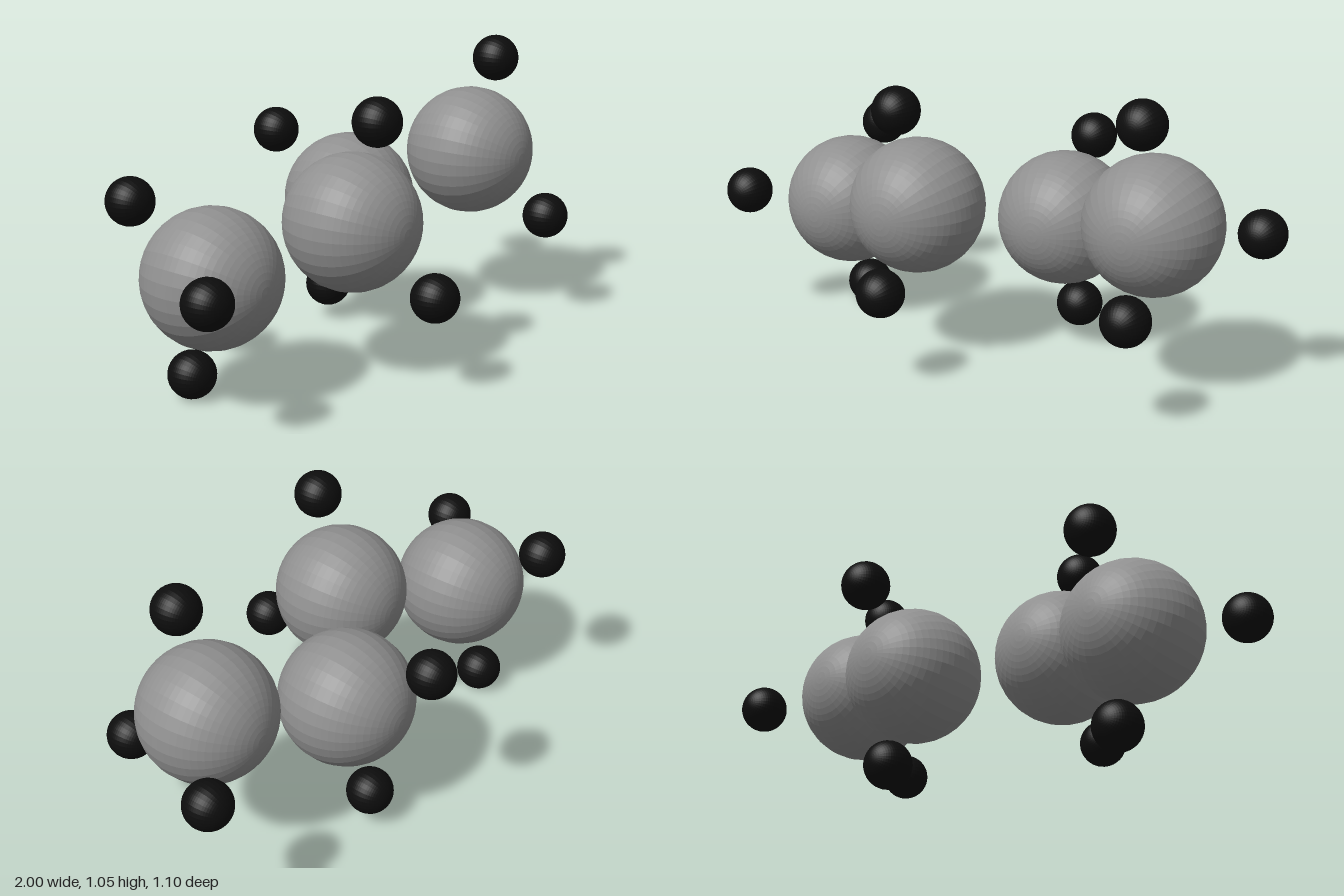
import * as THREE from 'three';

const CENTRE_Y = 0.528;

// Half of the chain; the other half is its point reflection through the centre.
const largeBalls = [
  ['innerBall', 0.196, 0.493, -0.165],
  ['outerBall', 0.641, 0.612, 0.05],
];
const smallBalls = [
  ['innerLowerBead', 0.203, 0.135, -0.272],
  ['innerBackBead', 0.143, 0.705, -0.466],
  ['outerUpperBead', 0.642, 0.972, 0.153],
  ['outerFrontBead', 0.703, 0.399, 0.349],
  ['outerEndBead', 0.918, 0.559, -0.196],
];

// Faceted sphere with its poles on the z axis
function ballGeometry(radius) {
  return new THREE.SphereGeometry(radius, 32, 32).rotateX(Math.PI / 2);
}

export function createModel() {
  const model = new THREE.Group();
  model.name = 'ballChain';

  const grey = new THREE.MeshStandardMaterial({ color: 0x909090, flatShading: true });
  const black = new THREE.MeshStandardMaterial({ color: 0x0d0d0d, flatShading: true });

  function addPairs(list, geometry, material) {
    for (const [name, x, y, z] of list) {
      for (const side of [1, -1]) {
        const ball = new THREE.Mesh(geometry, material);
        ball.name = name + (side > 0 ? 'Left' : 'Right');
        ball.position.set(side * x, CENTRE_Y + side * (y - CENTRE_Y), side * z);
        model.add(ball);
      }
    }
  }

  // Four large balls in a zigzag, ten small beads floating around them
  addPairs(largeBalls, ballGeometry(0.233), grey);
  addPairs(smallBalls, ballGeometry(0.082), black);
  return model;
}
